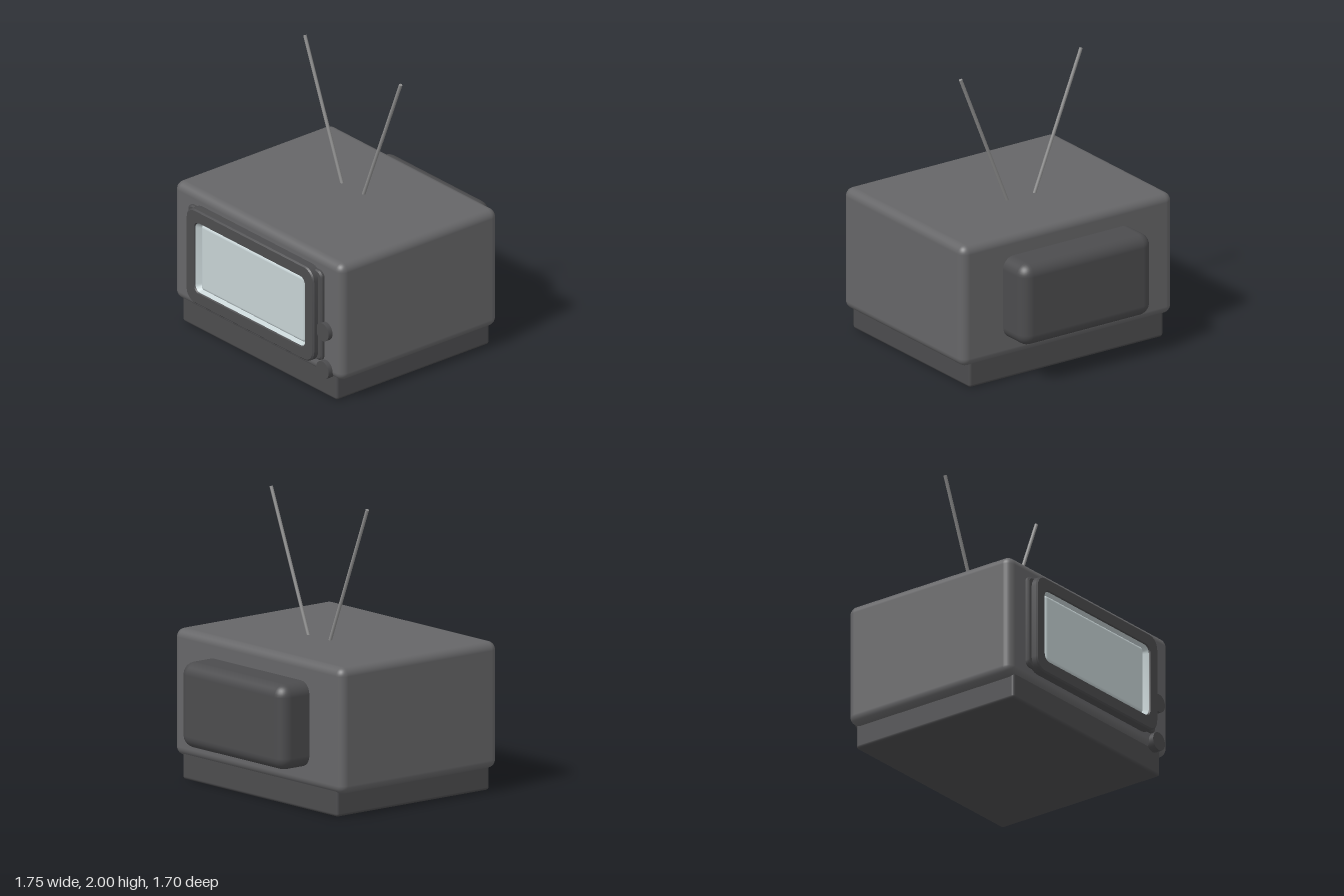
import * as THREE from 'three';
import { RoundedBoxGeometry } from 'three/addons/geometries/RoundedBoxGeometry.js';
import { toCreasedNormals } from 'three/addons/utils/BufferGeometryUtils.js';

const mat = (color) => new THREE.MeshStandardMaterial({ color });

// Rounded rectangle outline, counter-clockwise seen from the front
function outline(w, h, r, steps = 5) {
  const pts = [];
  const corners = [[1, -1], [1, 1], [-1, 1], [-1, -1]];
  corners.forEach(([sx, sy], k) => {
    for (let i = 0; i <= steps; i++) {
      const a = (k - 1 + i / steps) * Math.PI / 2;
      pts.push([sx * (w / 2 - r) + r * Math.cos(a), sy * (h / 2 - r) + r * Math.sin(a)]);
    }
  });
  return pts;
}

// Skin joining rounded rectangles given as [width, height, radius, z]
function loft(sections) {
  const pos = [], index = [];
  let n = 0;
  for (const [w, h, r, z] of sections) {
    const ring = outline(w, h, r);
    n = ring.length;
    ring.forEach(([x, y]) => pos.push(x, y, z));
  }
  for (let s = 0; s < sections.length - 1; s++) {
    for (let j = 0; j < n; j++) {
      const a = s * n + j, b = s * n + (j + 1) % n;
      index.push(a, b, b + n, a, b + n, a + n);
    }
  }
  const g = new THREE.BufferGeometry();
  g.setAttribute('position', new THREE.Float32BufferAttribute(pos, 3));
  g.setIndex(index);
  return toCreasedNormals(g, 0.5);
}

export function createModel() {
  const group = new THREE.Group();
  const shell = mat(0x666668), dark = mat(0x4c4c4e), metal = mat(0x8c8c8c), glass = mat(0xc6d2d4);

  const add = (name, geometry, material, x = 0, y = 0, z = 0) => {
    const mesh = new THREE.Mesh(geometry, material);
    mesh.name = name;
    mesh.position.set(x, y, z);
    group.add(mesh);
    return mesh;
  };
  // Rounded box from its extents
  const box = (name, material, [x0, x1], [y0, y1], [z0, z1], r) =>
    add(name, new RoundedBoxGeometry(x1 - x0, y1 - y0, z1 - z0, 4, r), material,
      (x0 + x1) / 2, (y0 + y1) / 2, (z0 + z1) / 2);

  // Cabinet, plinth and tube housing
  box('cabinet', shell, [-0.875, 0.875], [0.16, 1.035], [-0.61, 0.78], 0.06);
  box('base', dark, [-0.805, 0.805], [0, 0.22], [-0.59, 0.76], 0.02);
  box('rearHousing', dark, [-0.54, 0.54], [0.3, 0.89], [-0.85, -0.4], 0.085);

  // Thin plate behind the screen frame
  add('frontPlate', loft([
    [1.4, 0.67, 0.04, 0.77], [1.4, 0.67, 0.04, 0.795], [1.38, 0.65, 0.04, 0.805], [1.2, 0.5, 0.04, 0.805],
  ]), dark, 0, 0.6);

  // Raised frame, then the pale sloping recess inside it
  add('screenFrame', loft([
    [1.33, 0.705, 0.09, 0.77], [1.33, 0.705, 0.09, 0.84], [1.31, 0.685, 0.08, 0.85],
    [1.16, 0.53, 0.05, 0.85], [1.15, 0.52, 0.05, 0.84],
  ]), dark, 0, 0.598);
  add('screenRecess', loft([
    [1.15, 0.52, 0.05, 0.84], [1.09, 0.47, 0.03, 0.8], [1.0, 0.4, 0.03, 0.8],
  ]), glass, 0, 0.598);
  box('screen', glass, [-0.54, 0.54], [0.352, 0.844], [0.76, 0.825], 0.025);

  // Two control knobs
  for (const y of [0.5, 0.215]) {
    const knob = add('knob', new THREE.CylinderGeometry(0.065, 0.065, 0.06, 32), dark, 0.72, y, 0.785);
    knob.rotation.x = Math.PI / 2;
  }

  // Pair of splayed aerials
  for (const side of [-1, 1]) {
    const foot = new THREE.Vector3(side * 0.1, 1.0, -0.063);
    const tip = new THREE.Vector3(side * 0.5, 1.996, -0.063);
    const dir = tip.clone().sub(foot);
    const rod = add(side > 0 ? 'leftAntenna' : 'rightAntenna',
      new THREE.CylinderGeometry(0.012, 0.012, dir.length(), 12), metal);
    rod.position.copy(foot).add(tip).multiplyScalar(0.5);
    rod.quaternion.setFromUnitVectors(new THREE.Vector3(0, 1, 0), dir.normalize());
  }
  return group;
}
